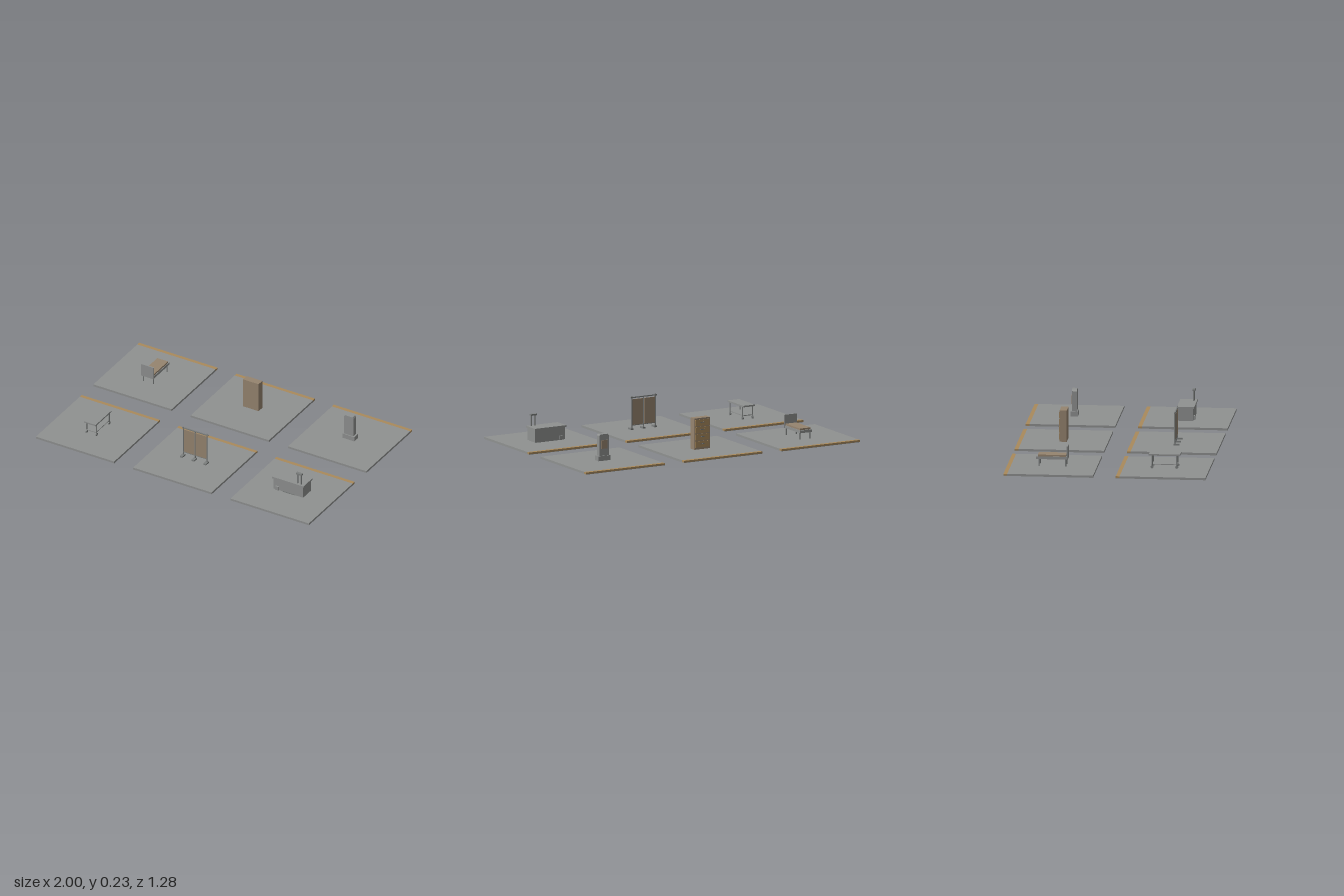
import * as THREE from 'three';

const mat = (name, color) => Object.assign(new THREE.MeshStandardMaterial({ color }), { name });

export function createModel() {
  const root = new THREE.Group();
  root.name = 'furnitureSet';
  const grey = mat('grey', 0x8f9190);
  const metal = mat('metal', 0x7c7f7e);
  const brown = mat('brown', 0x96846f);
  const tan = mat('tan', 0xa98a5c);
  const F = 0.0137; // floor top
  const X = 0.713, Z = 0.356; // tile spacing

  const add = (parent, name, geo, material, x, y, z) => {
    const m = new THREE.Mesh(geo, material);
    m.name = name;
    m.position.set(x, y, z);
    parent.add(m);
    return m;
  };
  // Box from min/max ranges
  const box = (parent, name, material, [x0, x1], [y0, y1], [z0, z1]) =>
    add(parent, name, new THREE.BoxGeometry(x1 - x0, y1 - y0, z1 - z0), material,
      (x0 + x1) / 2, (y0 + y1) / 2, (z0 + z1) / 2);
  const post = (parent, name, material, r, x, z, y0, y1) =>
    add(parent, name, new THREE.CylinderGeometry(r, r, y1 - y0, 10), material, x, (y0 + y1) / 2, z);
  const station = (name, x, z) => {
    const g = new THREE.Group();
    g.name = name;
    g.position.set(x, 0, z);
    root.add(g);
    return g;
  };

  // Six floor tiles, each with a coloured strip along the back edge
  for (const x of [-X, 0, X]) for (const z of [-Z, Z]) {
    const t = station('floorTile', x, z);
    box(t, 'floor', grey, [-0.287, 0.287], [0, F], [-0.26, 0.284]);
    box(t, 'floorBase', grey, [-0.287, 0.287], [0, 0.002], [-0.284, -0.26]);
    box(t, 'backStrip', tan, [-0.287, 0.287], [0.002, F], [-0.284, -0.26]);
  }

  // Bed with headboard at the front
  const bed = station('bed', -X, -Z);
  box(bed, 'bedFrame', grey, [-0.043, 0.043], [0.058, 0.075], [-0.1, 0.1]);
  box(bed, 'mattress', brown, [-0.039, 0.039], [0.075, 0.086], [-0.09, 0.088]);
  box(bed, 'headboard', grey, [-0.045, 0.045], [0.058, 0.143], [0.092, 0.1]);
  for (const x of [-0.036, 0.036]) for (const z of [-0.083, 0.086])
    post(bed, 'bedLeg', metal, 0.004, x, z, F, 0.06);

  // Wheeled trolley table
  const trolley = station('trolley', -X, Z);
  box(trolley, 'tabletop', grey, [-0.042, 0.042], [0.096, 0.106], [-0.099, 0.099]);
  box(trolley, 'lowerShelf', grey, [-0.036, 0.036], [0.037, 0.042], [-0.085, 0.085]);
  for (const x of [-0.036, 0.036]) for (const z of [-0.078, 0.078]) {
    post(trolley, 'trolleyLeg', metal, 0.004, x, z, 0.025, 0.098);
    add(trolley, 'wheel', new THREE.CylinderGeometry(0.0095, 0.0095, 0.008, 14).rotateZ(Math.PI / 2),
      metal, x, F + 0.0095, z);
  }

  // Chest of drawers, drawers facing the back
  const chest = station('drawerChest', 0, -Z);
  box(chest, 'chestBody', brown, [-0.057, 0.057], [F, 0.215], [-0.022, 0.024]);
  for (let i = 0; i < 4; i++) {
    const y = 0.026 + i * 0.046;
    box(chest, 'drawerFront', tan, [-0.051, 0.051], [y, y + 0.04], [-0.0245, -0.021]);
    box(chest, 'drawerHandle', metal, [-0.014, 0.014], [y + 0.02, y + 0.025], [-0.028, -0.024]);
  }

  // Folding privacy screen
  const screen = station('privacyScreen', 0, Z);
  for (const s of [-1, 1])
    box(screen, 'screenPanel', brown, s < 0 ? [-0.083, -0.004] : [0.004, 0.083], [0.043, 0.21], [-0.002, 0.002]);
  for (const x of [-0.086, 0, 0.086]) {
    post(screen, 'screenPost', metal, 0.004, x, 0, F, x ? 0.23 : 0.223);
    box(screen, 'screenFoot', metal, [x - 0.009, x + 0.009], [F, 0.024], [-0.007, 0.03]);
  }
  box(screen, 'topRail', metal, [-0.095, 0.095], [0.218, 0.225], [-0.0035, 0.0035]);
  box(screen, 'bottomRail', metal, [-0.086, 0.086], [0.041, 0.045], [-0.003, 0.003]);

  // Counter tub with tap
  const tub = station('tub', X, Z);
  box(tub, 'tubBody', grey, [-0.112, 0.106], [0.018, 0.095], [-0.048, 0.048]);
  box(tub, 'tubPlinth', grey, [-0.106, 0.1], [F, 0.018], [-0.043, 0.043]);
  box(tub, 'tubRim', grey, [-0.118, 0.112], [0.095, 0.107], [-0.055, 0.055]);
  for (const s of [-1, 1])
    box(tub, 'sideBox', grey, [-0.093, -0.07], [0.019, 0.045], s > 0 ? [0.045, 0.058] : [-0.054, -0.045]);
  box(tub, 'kickSlot', metal, [-0.046, 0.042], [0.016, 0.022], [0.045, 0.05]);
  for (const x of [0.06, 0.085])
    post(tub, 'tapPost', metal, 0.0045, x, 0.036, 0.105, 0.178);
  box(tub, 'tapBar', metal, [0.05, 0.092], [0.174, 0.184], [0.027, 0.045]);

  // Upright kiosk with chamfered top and a panel on the back
  const kiosk = station('kiosk', X, -Z);
  box(kiosk, 'kioskBase', grey, [-0.044, 0.044], [F, 0.045], [-0.023, 0.022]);
  const s = new THREE.Shape([[-0.034, 0.045], [0.034, 0.045], [0.034, 0.174], [0.027, 0.183],
    [-0.027, 0.183], [-0.034, 0.174]].map(([x, y]) => new THREE.Vector2(x, y)));
  add(kiosk, 'kioskColumn', new THREE.ExtrudeGeometry(s, { depth: 0.032, bevelEnabled: false }),
    grey, 0, 0, -0.017);
  box(kiosk, 'kioskPanel', brown, [-0.022, 0.022], [0.09, 0.145], [-0.02, -0.016]);

  return root;
}
